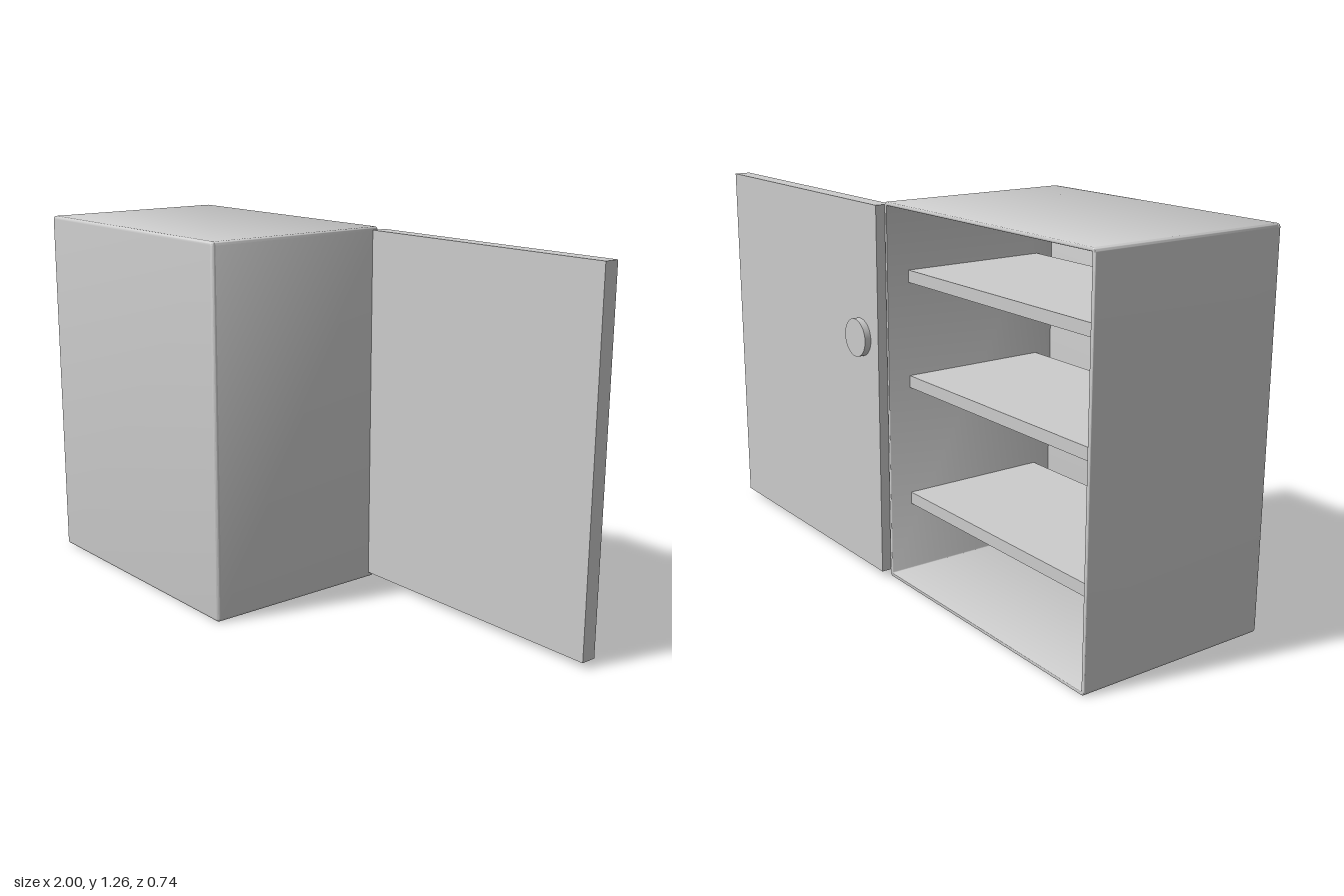
import * as THREE from 'three';
import { toCreasedNormals } from 'three/addons/utils/BufferGeometryUtils.js';

const material = new THREE.MeshStandardMaterial({ color: 0xcccccc });

// Cabinet extents
const X0 = -1, X1 = 0.01, HEIGHT = 1.265, BACK = -0.32, FRONT = 0.37, WALL = 0.012;

function roundedRect(target, x0, y0, x1, y1, r) {
  target.absarc(x1 - r, y1 - r, r, 0, Math.PI / 2);
  target.absarc(x0 + r, y1 - r, r, Math.PI / 2, Math.PI);
  target.absarc(x0 + r, y0 + r, r, Math.PI, Math.PI * 1.5);
  target.absarc(x1 - r, y0 + r, r, Math.PI * 1.5, Math.PI * 2);
  target.closePath();
  return target;
}

// Extrusion spanning z0..z1 with rounded rims that stay inside the outline
function slab(shape, z0, z1, bevel) {
  const geo = new THREE.ExtrudeGeometry(shape, {
    depth: z1 - z0 - 2 * bevel, curveSegments: 4,
    bevelThickness: bevel, bevelSize: bevel, bevelOffset: -bevel, bevelSegments: 4,
  });
  geo.translate(0, 0, z0 + bevel);
  return toCreasedNormals(geo, 0.7);
}

function add(parent, name, geometry, x = 0, y = 0, z = 0) {
  const mesh = new THREE.Mesh(geometry, material);
  mesh.name = name;
  mesh.position.set(x, y, z);
  parent.add(mesh);
  return mesh;
}

export function createModel() {
  const model = new THREE.Group();
  model.name = 'cabinet';

  // Thin-walled carcass, open at the door side
  const outline = roundedRect(new THREE.Shape(), X0, 0, X1, HEIGHT, 0.012);
  const ring = outline.clone();
  ring.holes.push(roundedRect(new THREE.Path(), X0 + WALL, WALL, X1 - WALL, HEIGHT - WALL, 0.003));
  add(model, 'carcass', slab(ring, BACK, FRONT - 0.011, 0.004));
  add(model, 'closedPanel', slab(outline, FRONT - 0.025, FRONT, 0.011));

  // Shelves between the side walls
  const shelfBox = new THREE.BoxGeometry(X1 - X0 - WALL, 0.04, 0.52);
  [1.04, 0.69, 0.285].forEach((top, i) => {
    add(model, `shelf${i + 1}`, shelfBox, (X0 + X1) / 2, top - 0.02, 0.02);
  });

  // Door swung fully open, with its round knob
  const door = new THREE.Group();
  door.name = 'door';
  model.add(door);
  add(door, 'doorPanel', new THREE.BoxGeometry(0.988, 1.235, 0.055), 0.506, 0.6375, -0.3225);
  const knob = new THREE.CylinderGeometry(0.063, 0.063, 0.025, 48);
  add(door, 'knob', knob.rotateX(Math.PI / 2), 0.12, 0.812, -0.3595);

  return model;
}
